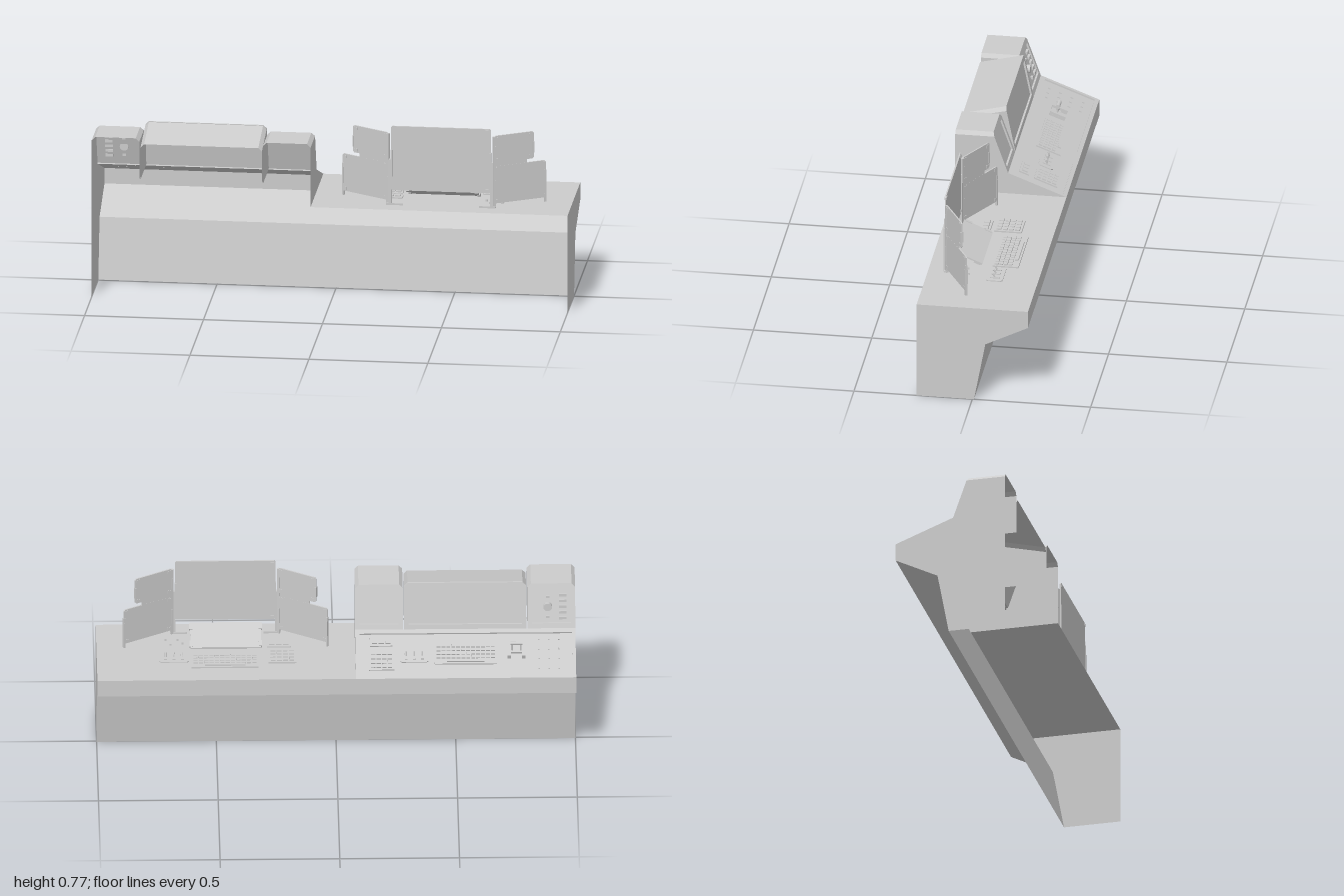
import * as THREE from 'three';

const mat = new THREE.MeshStandardMaterial({ color: 0xcccccc, flatShading: true, side: THREE.DoubleSide });

function add(parent, name, geo, x = 0, y = 0, z = 0) {
  const m = new THREE.Mesh(geo, mat);
  m.name = name;
  m.position.set(x, y, z);
  parent.add(m);
  return m;
}
const box = (p, name, w, h, d, x, y, z) => add(p, name, new THREE.BoxGeometry(w, h, d), x, y, z);

function group(parent, name, x = 0, y = 0, z = 0) {
  const g = new THREE.Group();
  g.name = name;
  g.position.set(x, y, z);
  parent.add(g);
  return g;
}

// Thin skin between two matching rows of points
function loft(a, b) {
  const v = [];
  for (let i = 0; i < a.length - 1; i++) {
    v.push(...a[i], ...b[i], ...b[i + 1], ...a[i], ...b[i + 1], ...a[i + 1]);
  }
  const g = new THREE.BufferGeometry();
  g.setAttribute('position', new THREE.Float32BufferAttribute(v, 3));
  g.computeVertexNormals();
  return g;
}
// Profile of [z, y] points swept sideways
const sweep = (pts, x0, x1) => loft(pts.map(([z, y]) => [x0, y, z]), pts.map(([z, y]) => [x1, y, z]));
const shape = pts => new THREE.Shape(pts.map(p => new THREE.Vector2(...p)));
// Flat plate in the z-y plane
const plate = pts => new THREE.ShapeGeometry(shape(pts)).rotateY(-Math.PI / 2);
const rect = (x0, y0, x1, y1) => [[x0, y0], [x1, y0], [x1, y1], [x0, y1]];
const chamfered = (x0, y0, x1, y1, c) => [
  [x0 + c, y0], [x1 - c, y0], [x1, y0 + c], [x1, y1 - c],
  [x1 - c, y1], [x0 + c, y1], [x0, y1 - c], [x0, y0 + c]];

// Raised housing, open at the rear, with a framed leaning face
function hood(parent, name, x0, x1, topZ, topY, backY) {
  const g = group(parent, name);
  const lean = y => 0.012 + (y - 0.52) * (topZ - 0.012) / (topY - 0.52);
  const outline = t => [[x0, 0.52], [x0, t - 0.015], [x0 + 0.015, t], [x1 - 0.015, t], [x1, t - 0.015], [x1, 0.52]];
  add(g, name + 'Shell', loft(
    outline(topY).map(([x, y]) => [x, y, lean(y)]),
    outline(backY).map(([x, y]) => [x, y, 0.235])));
  const tilt = geo => {
    const p = geo.attributes.position;
    for (let i = 0; i < p.count; i++) p.setZ(i, p.getZ(i) + lean(p.getY(i)));
    geo.computeVertexNormals();
    return geo;
  };
  const opening = rect(x0 + 0.018, 0.54, x1 - 0.018, topY - 0.022);
  const frame = shape(outline(topY));
  frame.holes.push(shape(opening));
  add(g, name + 'Frame', tilt(new THREE.ExtrudeGeometry(frame, { depth: 0.008, bevelEnabled: false })));
  add(g, name + 'Screen', tilt(new THREE.ShapeGeometry(shape(opening)).translate(0, 0, 0.008)));
  return { g, lean };
}

// Base plate with rows of keys
function keypad(parent, name, w, d, cols, rows, x, y, z, spaceBar) {
  const g = group(parent, name, x, y, z);
  box(g, 'keyBase', w, 0.006, d, 0, 0.003, 0);
  const px = (w - 0.012) / cols, n = rows + (spaceBar ? 1 : 0), pz = (d - 0.012) / n;
  for (let r = 0; r < rows; r++) {
    for (let c = 0; c < cols; c++) {
      box(g, 'key', px * 0.78, 0.006, pz * 0.75,
        (c - (cols - 1) / 2) * px, 0.009, d / 2 - 0.006 - (r + 0.5) * pz);
    }
  }
  if (spaceBar) box(g, 'spaceBar', w * 0.6, 0.006, pz * 0.75, 0, 0.009, -d / 2 + 0.006 + pz / 2);
}

function switches(parent, name, w, d, x, y, z) {
  const g = group(parent, name, x, y, z);
  const base = new THREE.ExtrudeGeometry(shape(chamfered(-w / 2, -d / 2, w / 2, d / 2, 0.008)),
    { depth: 0.004, bevelEnabled: false }).rotateX(-Math.PI / 2);
  add(g, 'switchBase', base);
  for (const s of [-1, 0, 1]) {
    box(g, 'switchSlot', 0.012, 0.004, d * 0.55, s * w * 0.28, 0.006, 0);
    const lever = add(g, 'switchLever', new THREE.CylinderGeometry(0.004, 0.003, 0.022, 8), s * w * 0.28, 0.014, 0.004);
    lever.rotation.x = 0.5;
  }
}

// Thin display with clipped corners, side clips and corner bolts, centred on its own origin
function display(parent, name, w, h) {
  const g = group(parent, name);
  add(g, 'displayPanel', new THREE.ExtrudeGeometry(shape(chamfered(-w / 2, -h / 2, w / 2, h / 2, 0.006)),
    { depth: 0.006, bevelEnabled: false }).translate(0, 0, -0.003));
  for (const s of [-1, 1]) {
    box(g, 'sideClip', 0.007, h * 0.42, 0.013, s * (w / 2 - 0.002), -h * 0.08, 0);
    for (const t of [-1, 1]) box(g, 'cornerBracket', 0.016, 0.012, 0.01, s * (w / 2 - 0.014), t * (h / 2 - 0.012), 0);
  }
  return g;
}

export function createModel() {
  const model = new THREE.Group();
  model.name = 'controlDesk';

  // Desk body, open at the rear and underneath
  const front = [[-0.007, 0], [-0.055, 0.26], [-0.235, 0.35], [-0.235, 0.425]];
  add(model, 'deskFront', sweep(front, -1, 1));
  add(model, 'deskTop', sweep([[-0.235, 0.425], [0.235, 0.425]], -0.08, 1));
  add(model, 'leftEndPlate', plate([[0.235, 0], ...front, [0.235, 0.425]]), 1);
  add(model, 'rightEndPlate', plate([[0.235, 0], ...front, [0.012, 0.52], [0.235, 0.52]]), -1);
  add(model, 'dividerPlate', plate([[-0.235, 0.425], [0.012, 0.52], [0.235, 0.52], [0.235, 0.425]]), -0.08);

  // Raised housings above the sloped panel
  const side = hood(model, 'dialHousing', -1, -0.8, 0.075, 0.70, 0.70);
  hood(model, 'mainScreenHousing', -0.795, -0.285, 0.052, 0.72, 0.675);
  hood(model, 'sideScreenHousing', -0.28, -0.08, 0.075, 0.70, 0.70);
  for (let i = 0; i < 5; i++) {
    const y = 0.56 + i * 0.023;
    box(side.g, 'sideButton', 0.032, 0.011, 0.012, -0.948, y, side.lean(y) + 0.006);
  }
  add(side.g, 'dial', new THREE.CylinderGeometry(0.018, 0.018, 0.016, 20).rotateX(Math.PI / 2), -0.885, 0.605, side.lean(0.605) + 0.004);
  for (const y of [0.565, 0.645]) box(side.g, 'dialButton', 0.014, 0.01, 0.012, -0.885, y, side.lean(y) + 0.006);

  // Sloped control panel; its local z runs up the slope
  const slope = group(model, 'slopedPanel', 0, 0.425, -0.235);
  slope.rotation.x = -Math.atan2(0.095, 0.247);
  const len = Math.hypot(0.095, 0.247), up = z => (z + 0.235) * len / 0.247, floor = -0.007;
  const rim = shape(rect(-1, 0, -0.08, len));
  const inner = rect(-0.985, 0.018, -0.098, len - 0.022);
  rim.holes.push(shape(inner));
  add(slope, 'panelRim', new THREE.ExtrudeGeometry(rim, { depth: 0.007, bevelEnabled: false }).rotateX(Math.PI / 2));
  add(slope, 'panelFloor', new THREE.ShapeGeometry(shape(inner)).rotateX(Math.PI / 2), 0, floor, 0);
  keypad(slope, 'panelKeyboard', 0.26, 0.11, 12, 4, -0.54, floor, up(-0.11), true);
  switches(slope, 'panelSwitches', 0.12, 0.065, -0.325, floor, up(-0.12));
  keypad(slope, 'panelKeypad', 0.105, 0.105, 4, 4, -0.188, floor, up(-0.14));
  keypad(slope, 'panelButtons', 0.095, 0.045, 3, 1, -0.188, floor, up(-0.048));
  for (let c = 0; c < 3; c++) {
    for (let r = 0; r < 4; r++) box(slope, 'indicator', 0.006, 0.005, 0.012, -0.93 + c * 0.042, floor + 0.002, up(-0.18 + r * 0.048));
  }

  // Twin throttle lever
  const throttle = group(slope, 'throttle', -0.752, floor, up(-0.1));
  box(throttle, 'throttleBase', 0.075, 0.008, 0.04, 0, 0.004, 0.012);
  for (const s of [-1, 1]) {
    box(throttle, 'throttleCheek', 0.014, 0.018, 0.07, s * 0.03, 0.009, 0);
    const stalk = add(throttle, 'throttleStalk', new THREE.CylinderGeometry(0.004, 0.004, 0.045, 8), s * 0.018, 0.022, 0.008);
    stalk.rotation.x = 0.25;
  }
  add(throttle, 'throttleGrip', new THREE.CylinderGeometry(0.009, 0.009, 0.05, 14).rotateZ(Math.PI / 2), 0, 0.043, 0.013);

  // Loose controls on the flat desk
  const top = 0.425;
  keypad(model, 'deskKeyboard', 0.28, 0.11, 12, 4, 0.465, top, -0.08, true);
  keypad(model, 'deskKeypad', 0.115, 0.115, 4, 4, 0.225, top, -0.042);
  keypad(model, 'deskButtons', 0.1, 0.045, 3, 1, 0.238, top, 0.055);
  switches(model, 'deskSwitches', 0.125, 0.07, 0.678, top, -0.052);
  for (const [x, z] of [[0.64, 0.07], [0.66, 0.1], [0.71, 0.1], [0.69, 0.06]]) {
    box(model, 'deskIndicator', 0.008, 0.008, 0.008, x, top + 0.004, z);
  }

  // Tilted tablet in front of the central display
  const tablet = group(model, 'tablet', 0.46, 0.46, 0.078);
  tablet.rotation.x = -Math.atan2(0.052, 0.12);
  box(tablet, 'tabletPanel', 0.295, 0.006, 0.132, 0, 0, 0);
  for (const s of [-1, 1]) {
    for (const t of [-1, 1]) box(tablet, 'tabletClip', 0.014, 0.012, 0.03, s * 0.145, 0, t * 0.045);
  }

  // Display wall: centre screen and two mirrored angled wings
  display(model, 'centreDisplay', 0.42, 0.28).position.set(0.46, 0.63, 0.163);
  const yaw = Math.atan2(0.115, 0.205);
  for (const s of [-1, 1]) {
    box(model, 'centrePost', 0.012, 0.2, 0.014, 0.46 + s * 0.213, 0.525, 0.163);
    box(model, 'centreFoot', 0.07, 0.008, 0.014, 0.46 + s * 0.195, 0.429, 0.16);
    const wing = group(model, s > 0 ? 'leftWing' : 'rightWing', 0.46 + s * 0.22, 0, 0.158);
    wing.rotation.y = s * yaw;
    display(wing, 'lowerDisplay', 0.232, 0.162).position.set(s * 0.12, 0.525, 0);
    display(wing, 'upperDisplay', 0.178, 0.118).position.set(s * 0.093, 0.68, 0);
    box(wing, 'outerLeg', 0.008, 0.14, 0.01, s * 0.234, 0.495, 0);
    box(wing, 'innerLeg', 0.012, 0.31, 0.01, s * 0.004, 0.58, 0);
    box(wing, 'displayNeck', 0.14, 0.02, 0.005, s * 0.08, 0.613, 0);
  }
  return model;
}
